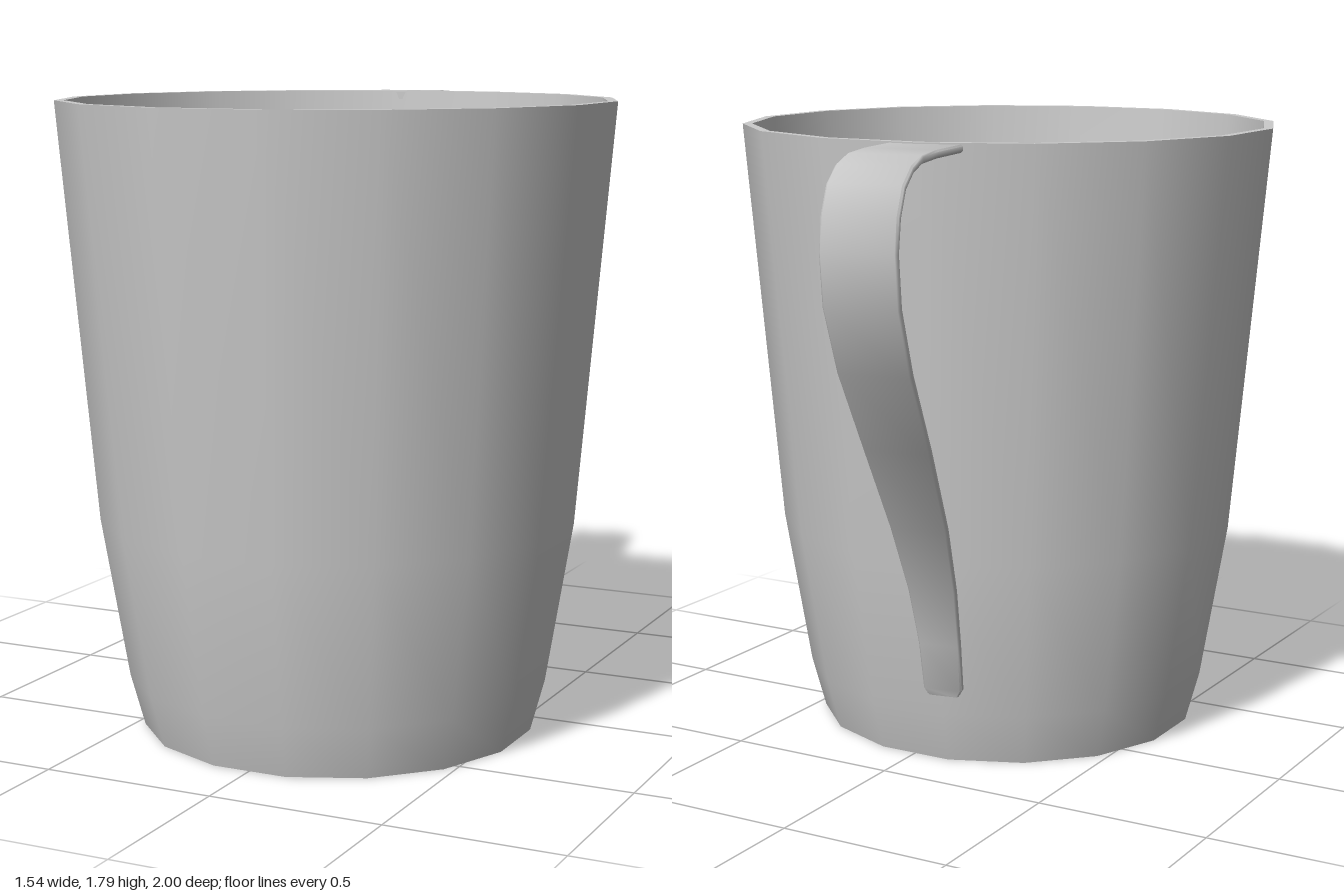
import * as THREE from 'three';
import { toCreasedNormals } from 'three/addons/utils/BufferGeometryUtils.js';

const SIDES = 16;
const TILT = THREE.MathUtils.degToRad(10);
const material = new THREE.MeshStandardMaterial({ color: 0xcccccc });

// One smooth ring of the cup; profile pairs are [distance to flat side, height]
function ring(name, profile) {
  const points = profile.map(([r, y]) => new THREE.Vector2(r / Math.cos(Math.PI / SIDES), y));
  const mesh = new THREE.Mesh(new THREE.LatheGeometry(points, SIDES, Math.PI / SIDES), material);
  mesh.name = name;
  return mesh;
}

// Flat strap with bevelled edges swept along a path of [z, y, width]
function strap(path, thickness, bevel) {
  const centres = path.map(([z, y]) => new THREE.Vector3(0, y, z));
  const positions = [];
  const index = [];
  const across = new THREE.Vector3(1, 0, 0);
  path.forEach(([, , width], i) => {
    const tangent = centres[Math.min(i + 1, path.length - 1)].clone()
      .sub(centres[Math.max(i - 1, 0)]).normalize();
    const normal = tangent.clone().cross(across);
    const w = width / 2, h = thickness / 2, b = bevel;
    const section = [[w, b - h], [w, h - b], [w - b, h], [b - w, h],
      [-w, h - b], [-w, b - h], [b - w, -h], [w - b, -h]];
    for (const [u, n] of section) {
      const p = centres[i].clone().addScaledVector(across, u).addScaledVector(normal, n);
      positions.push(p.x, p.y, p.z);
    }
  });
  const last = (path.length - 1) * 8;
  for (let i = 0; i < last; i += 8) {
    for (let j = 0; j < 8; j++) {
      const k = (j + 1) % 8;
      index.push(i + j, i + k, i + 8 + j, i + k, i + 8 + k, i + 8 + j);
    }
  }
  // End caps
  for (let j = 1; j < 7; j++) {
    index.push(0, j + 1, j, last, last + j, last + j + 1);
  }
  const geometry = new THREE.BufferGeometry();
  geometry.setAttribute('position', new THREE.Float32BufferAttribute(positions, 3));
  geometry.setIndex(index);
  return toCreasedNormals(geometry, 0.9);
}

export function createModel() {
  const model = new THREE.Group();
  model.name = 'mug';

  // Cup: separate rings keep the rim and foot edges sharp
  const cup = new THREE.Group();
  cup.name = 'cup';
  cup.position.z = 0.225;
  cup.add(
    ring('base', [[0, 0], [0.555, 0]]),
    ring('outerWall', [[0.555, 0], [0.595, 0.15], [0.67, 0.61], [0.772, 1.79]]),
    ring('rim', [[0.772, 1.79], [0.745, 1.79]]),
    ring('innerWall', [[0.745, 1.79], [0.645, 0.61], [0.57, 0.16], [0.55, 0.06], [0, 0.06]]),
  );
  model.add(cup);

  // Handle: tapering strap, set slightly off the back and turned outward
  const pivotZ = -0.53;
  const path = [
    [-0.515, 1.775, 0.21], [-0.7, 1.775, 0.21], [-0.8, 1.77, 0.21], [-0.87, 1.75, 0.21],
    [-0.925, 1.71, 0.21], [-0.96, 1.64, 0.21], [-0.975, 1.55, 0.21], [-0.957, 1.41, 0.21],
    [-0.877, 1.23, 0.205], [-0.73, 1.0, 0.19], [-0.577, 0.75, 0.165], [-0.48, 0.55, 0.14],
    [-0.425, 0.38, 0.122], [-0.397, 0.24, 0.115], [-0.394, 0.22, 0.09],
  ].map(([z, y, w]) => [(z - pivotZ) / Math.cos(TILT), y, w]);
  const handle = new THREE.Mesh(strap(path, 0.022, 0.005), material);
  handle.name = 'handle';
  handle.position.set(-0.16, 0, pivotZ);
  handle.rotation.y = TILT;
  model.add(handle);

  return model;
}
